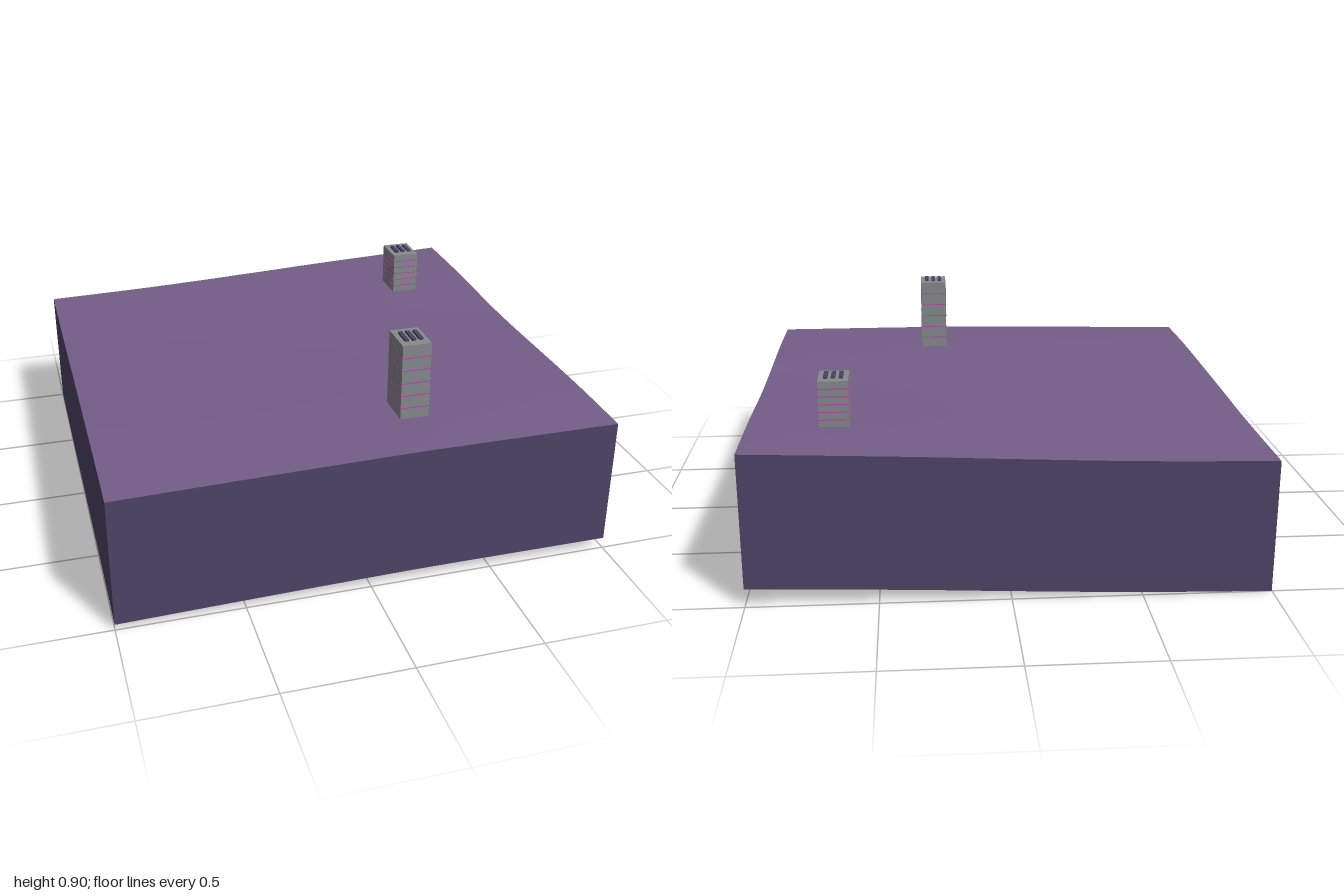
import * as THREE from 'three';

const mat = (name, color, side = THREE.FrontSide) => {
  const m = new THREE.MeshStandardMaterial({ color, side });
  m.name = name;
  return m;
};

const DEPTH = 0.53, SEG = 24;

// Edge height curves of the ground, each running from -1 to +1
const edgeCurve = (pts) => {
  const c = new THREE.SplineCurve(pts.map(([a, h]) => new THREE.Vector2(a, h)));
  const samples = c.getPoints(200);
  return (a) => {
    const i = Math.max(1, samples.findIndex((p) => p.x >= a - 1e-6));
    const p = samples[i - 1], q = samples[i];
    return p.y + (q.y - p.y) * THREE.MathUtils.clamp((a - p.x) / (q.x - p.x), 0, 1);
  };
};
const frontEdge = edgeCurve([[-1, 0.555], [-0.5, 0.566], [0, 0.575], [0.3, 0.578], [1, 0.577]]);
const backEdge = edgeCurve([[-1, 0.531], [-0.5, 0.543], [0, 0.564], [0.4, 0.583], [1, 0.606]]);
const leftEdge = edgeCurve([[-1, 0.606], [-0.6, 0.6], [-0.1, 0.582], [0.6, 0.585], [1, 0.577]]);
const rightEdge = edgeCurve([[-1, 0.531], [-0.5, 0.533], [0, 0.545], [0.6, 0.557], [1, 0.555]]);

// Ground height blended between the four edges
function groundHeight(x, z) {
  const u = (x + 1) / 2, v = (z + 1) / 2, L = THREE.MathUtils.lerp;
  const corners = L(L(0.531, 0.606, u), L(0.555, 0.577, u), v);
  return L(backEdge(x), frontEdge(x), v) + L(rightEdge(z), leftEdge(z), u) - corners;
}

function makeGround(material) {
  const g = new THREE.PlaneGeometry(2, 2, SEG, SEG).rotateX(-Math.PI / 2);
  const p = g.attributes.position;
  for (let i = 0; i < p.count; i++) p.setY(i, groundHeight(p.getX(i), p.getZ(i)));
  g.computeVertexNormals();
  const mesh = new THREE.Mesh(g, material);
  mesh.name = 'ground';
  return mesh;
}

// One skirt wall hanging from the ground edge
function makeWall(name, angle, material) {
  const g = new THREE.PlaneGeometry(2, DEPTH, SEG, 1).translate(0, 0, 1).rotateY(angle);
  const p = g.attributes.position;
  for (let i = 0; i < p.count; i++) {
    const h = groundHeight(p.getX(i), p.getZ(i));
    p.setY(i, p.getY(i) > 0 ? h : h - DEPTH);
  }
  g.computeVertexNormals();
  const mesh = new THREE.Mesh(g, material);
  mesh.name = name;
  return mesh;
}

function makeTower(name, x, z, base, top, mats) {
  const group = new THREE.Group();
  group.name = name;
  const add = (part, w, h, d, px, py, m) => {
    const mesh = new THREE.Mesh(new THREE.BoxGeometry(w, h, d), m);
    mesh.position.set(px, py, 0);
    mesh.name = part;
    group.add(mesh);
  };
  const h = top - base;
  add('towerBody', 0.118, h, 0.156, 0, base + h / 2, mats.concrete);
  // Light strips between floors
  for (let i = 1; i < 6; i++) {
    add('lightStrip', 0.12, 0.004, 0.158, 0, top - (i * h) / 6, mats.neon);
  }
  // Roof vents
  for (const vx of [-0.03, 0, 0.03]) {
    add('roofVent', 0.016, 0.01, 0.08, vx, top + 0.004, mats.vent);
  }
  group.position.set(x, 0, z);
  return group;
}

export function createModel() {
  const mats = {
    ground: mat('purple ground', 0x745e88, THREE.DoubleSide),
    wall: mat('dark violet wall', 0x4d4568, THREE.DoubleSide),
    concrete: mat('grey concrete', 0x868a8c),
    vent: mat('dark vent', 0x48445f),
    neon: mat('pink light', 0xc043b2),
  };
  const model = new THREE.Group();
  model.name = 'terrainTile';
  model.add(makeGround(mats.ground));
  ['frontWall', 'leftWall', 'backWall', 'rightWall'].forEach((name, i) =>
    model.add(makeWall(name, (i * Math.PI) / 2, mats.wall)));
  model.add(makeTower('tallTower', 0.25, 0.665, 0.573, 0.896, mats));
  model.add(makeTower('shortTower', 0.665, -0.585, 0.588, 0.774, mats));
  return model;
}
